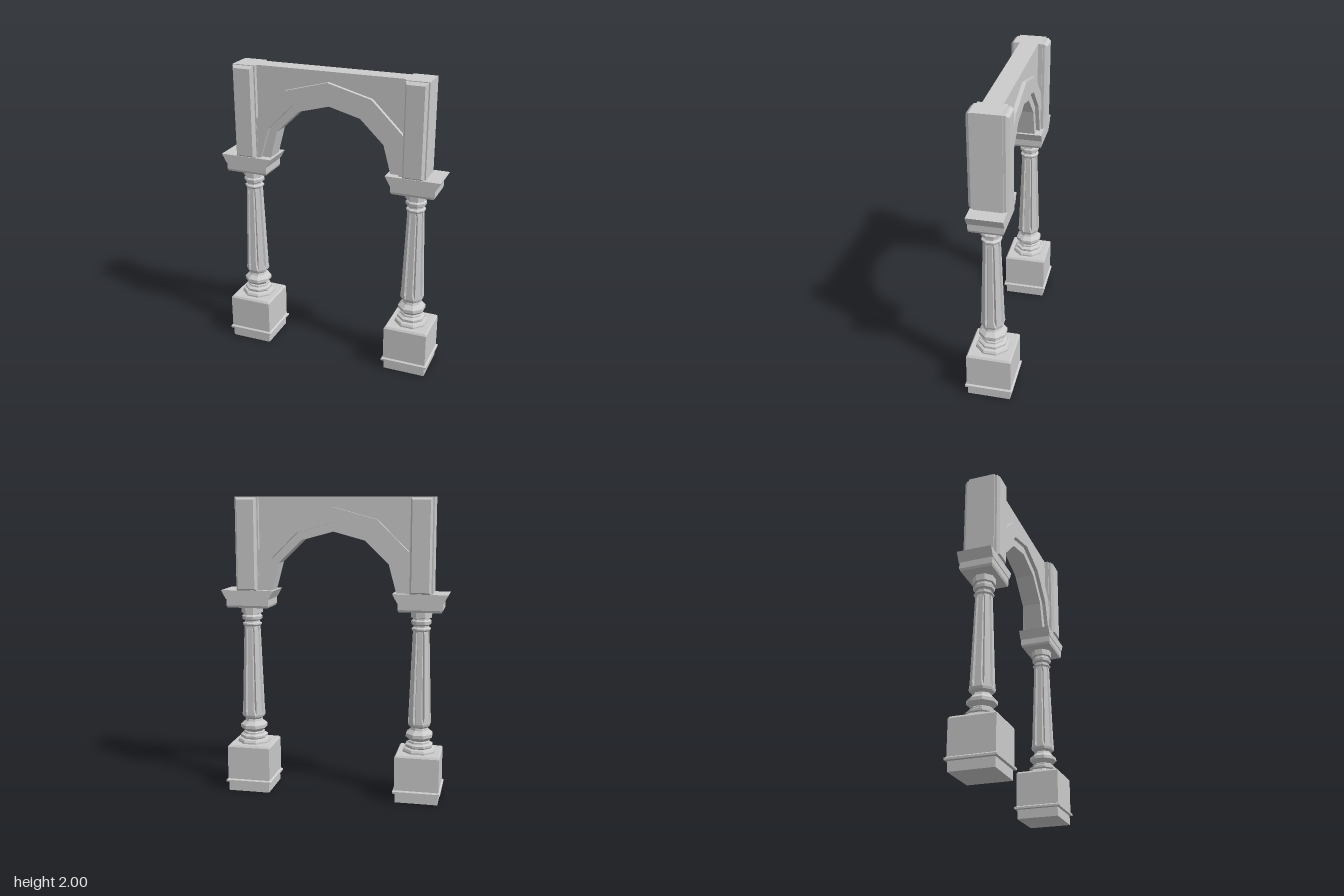
import * as THREE from 'three';

const mat = new THREE.MeshStandardMaterial({ color: 0xcccccc, flatShading: true });
const COLUMN_X = 0.575;

function mesh(name, geometry) {
  const m = new THREE.Mesh(geometry, mat);
  m.name = name;
  return m;
}

// Stack of regular n-sided sections, [half width across flats, height], flat side to the front
function turned(name, sides, profile) {
  const k = 1 / Math.cos(Math.PI / sides);
  const pts = profile.map(([r, y]) => new THREE.Vector2(r * k, y));
  pts.unshift(new THREE.Vector2(0, profile[0][1]));
  pts.push(new THREE.Vector2(0, profile[profile.length - 1][1]));
  return mesh(name, new THREE.LatheGeometry(pts, sides, Math.PI / sides));
}

// Outline in x and y, extruded evenly to both sides of z = 0
function slab(name, outline, depth) {
  const shape = new THREE.Shape(outline.map(([x, y]) => new THREE.Vector2(x, y)));
  const g = new THREE.ExtrudeGeometry(shape, { depth, bevelEnabled: false });
  g.translate(0, 0, -depth / 2);
  return mesh(name, g);
}

// Right half of an outline, completed by its mirror image
const mirrored = (half) => [
  ...half,
  ...half.filter(([x]) => x > 0).reverse().map(([x, y]) => [-x, y]),
];

// Tapering octagonal shaft with a groove cut along each corner
function flutedShaft() {
  const rows = [[0.07, 0.505], [0.074, 0.52], [0.073, 0.56], [0.054, 1.11], [0.052, 1.14]];
  const sides = 48, per = sides / 8;
  const g = new THREE.LatheGeometry(
    rows.map(([r, y]) => new THREE.Vector2(r, y)), sides, Math.PI / 8);
  const p = g.attributes.position;
  for (let i = 0; i < p.count; i++) {
    const k = Math.floor(i / rows.length) % per, row = i % rows.length;
    let s = 1 / Math.cos((k / per - 0.5) * Math.PI / 4);
    if (k === 0 && row > 1 && row < 4) s *= 0.8;
    p.setXYZ(i, p.getX(i) * s, p.getY(i), p.getZ(i) * s);
  }
  return mesh('flutedShaft', g);
}

// Raised panels on the front and back of a pier, with bevelled rims
function pierPanels() {
  const g = new THREE.BoxGeometry(0.138, 0.61, 0.246, 1, 1, 3);
  const p = g.attributes.position;
  for (let i = 0; i < p.count; i++) {
    const x = p.getX(i), y = p.getY(i), z = p.getZ(i);
    if (Math.abs(z) > 0.1) p.setXYZ(i, x - Math.sign(x) * 0.012, y - Math.sign(y) * 0.014, z);
    else p.setZ(i, Math.sign(z) * 0.105);
  }
  g.translate(0, 1.69, 0);
  return mesh('pierPanels', g);
}

function support(name, x) {
  const group = new THREE.Group();
  group.name = name;
  group.position.x = x;

  group.add(turned('pedestal', 4, [
    [0.142, 0], [0.142, 0.062], [0.158, 0.065], [0.158, 0.078], [0.147, 0.086],
    [0.147, 0.312], [0.138, 0.325],
  ]));
  group.add(turned('columnBase', 8, [
    [0.105, 0.32], [0.105, 0.335], [0.098, 0.348], [0.08, 0.354], [0.088, 0.362],
    [0.088, 0.376], [0.068, 0.386], [0.068, 0.396], [0.06, 0.402], [0.086, 0.428],
    [0.086, 0.45], [0.058, 0.474], [0.053, 0.49], [0.07, 0.506],
  ]));
  group.add(flutedShaft());
  group.add(turned('columnNeck', 8, [
    [0.052, 1.138], [0.06, 1.148], [0.06, 1.157], [0.047, 1.165], [0.047, 1.175],
    [0.062, 1.185], [0.064, 1.205], [0.054, 1.215], [0.054, 1.225], [0.067, 1.228],
    [0.067, 1.275],
  ]));

  // Capital: a bevelled block below a slab flaring sideways
  const block = turned('capitalBlock', 4, [[0.138, 1.27], [0.145, 1.285], [0.145, 1.335]]);
  block.scale.z = 0.75;
  group.add(block);
  group.add(slab('capitalSlab', [
    [-0.147, 1.328], [0.147, 1.328], [0.18, 1.387], [-0.18, 1.387],
  ], 0.226));

  // Pier above the capital
  const pier = mesh('pier', new THREE.BoxGeometry(0.156, 0.615, 0.18));
  pier.position.y = 1.6925;
  group.add(pier, pierPanels());
  return group;
}

export function createModel() {
  const model = new THREE.Group();
  model.name = 'archway';
  model.add(support('leftSupport', COLUMN_X), support('rightSupport', -COLUMN_X));

  // Outlines of the faceted arch, from right foot to crown
  const soffit = [[0.415, 1.386], [0.365, 1.57], [0.208, 1.722], [0, 1.778]];
  const mid = [[0.477, 1.386], [0.413, 1.595], [0.237, 1.77], [0, 1.835]];
  const outer = [[0.51, 1.386], [0.51, 1.64], [0.29, 1.857], [0, 1.935]];

  const wall = [[0.51, 1.386], [0.51, 2], [-0.51, 2], [-0.51, 1.386]];
  model.add(slab('spandrelWall', [...wall, ...mirrored(soffit).reverse()], 0.124));
  model.add(slab('archMoulding', [...mirrored(outer), ...mirrored(mid).reverse()], 0.176));
  return model;
}
